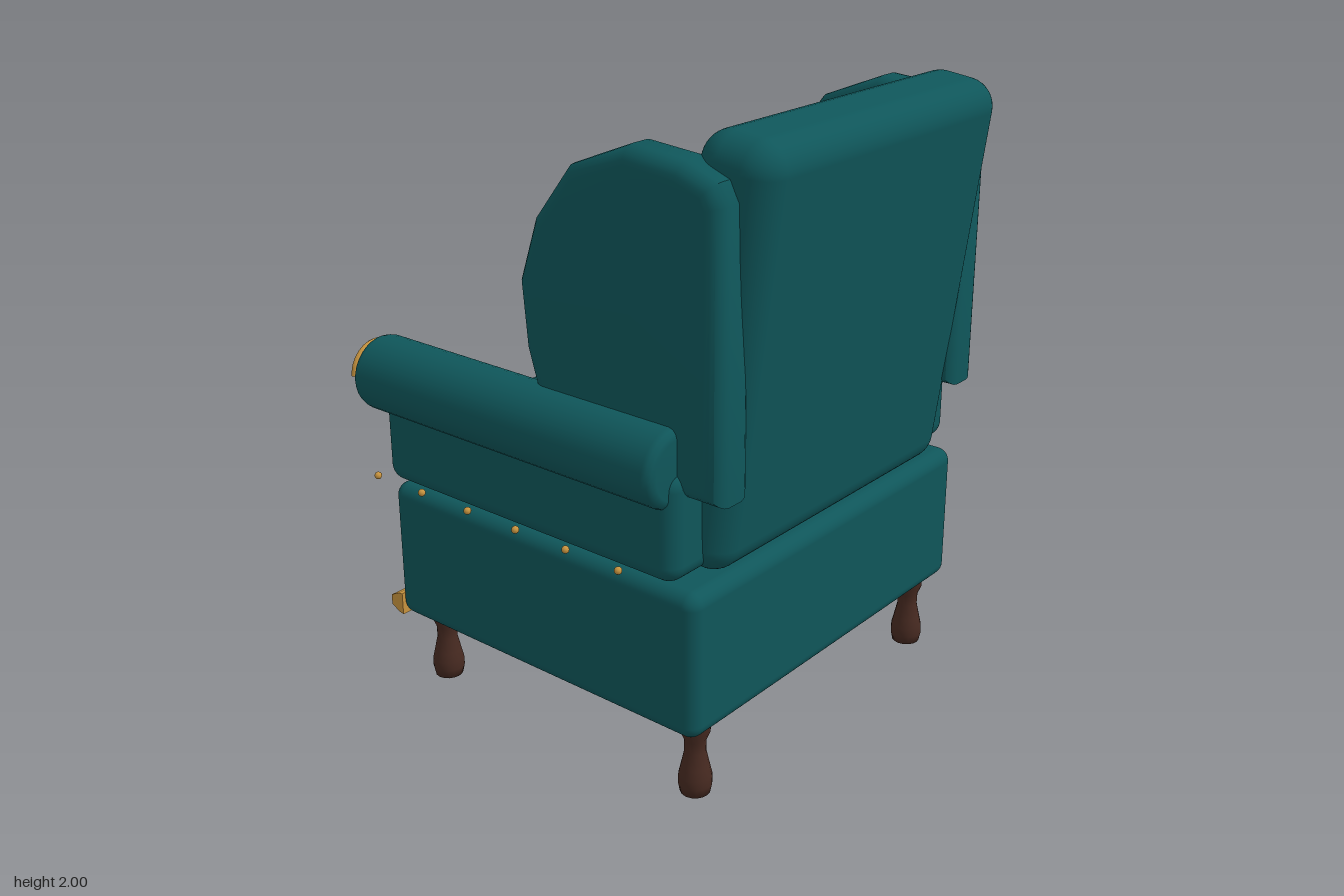
import * as THREE from 'three';
import { mergeVertices, toCreasedNormals } from 'three/addons/utils/BufferGeometryUtils.js';
import { RoundedBoxGeometry } from 'three/addons/geometries/RoundedBoxGeometry.js';

const material = (name, color) => {
  const m = new THREE.MeshStandardMaterial({ color });
  m.name = name;
  return m;
};
const v2 = ([x, y]) => new THREE.Vector2(x, y);

export function createModel() {
  const fabric = material('teal fabric', 0x0f565a);
  const brass = material('brass', 0xc8943f);
  const wood = material('dark wood', 0x472a21);
  const orange = material('pumpkin orange', 0xdd7420);

  const chair = new THREE.Group();
  chair.name = 'armchair';

  const add = (name, geo, mat, x = 0, y = 0, z = 0, parent = chair) => {
    const mesh = new THREE.Mesh(geo, mat);
    mesh.name = name;
    mesh.position.set(x, y, z);
    parent.add(mesh);
    return mesh;
  };
  const cushion = (w, h, d, r) => new RoundedBoxGeometry(w, h, d, 5, r);
  // Extrudes a (z, y) outline along x, centred on x = 0
  const sideExtrude = (points, depth, options) => {
    const geo = new THREE.ExtrudeGeometry(new THREE.Shape(points.map(v2)), { depth, ...options });
    return geo.translate(0, 0, -depth / 2).rotateY(-Math.PI / 2);
  };

  // Base and seat
  add('base', cushion(1.38, 0.47, 1.245, 0.045), fabric, 0, 0.475, -0.05);
  add('seatCushion', cushion(1.06, 0.2, 1.05, 0.075), fabric, 0, 0.79, -0.17);

  // Tilted backrest with its buttons
  const backrest = new THREE.Group();
  backrest.name = 'backrest';
  backrest.position.set(0, 1.36, 0.525);
  backrest.rotation.x = 0.13;
  chair.add(backrest);
  add('backCushion', cushion(1.18, 1.28, 0.26, 0.09), fabric, 0, 0, 0, backrest);
  const button = new THREE.SphereGeometry(0.02, 12, 8).scale(1, 1, 0.6);
  [[0.34, [-0.27, 0, 0.27]], [0.04, [-0.135, 0.135]], [-0.26, [-0.27, 0, 0.27]]].forEach(([y, xs]) =>
    xs.forEach((x) => add('backButton', button, brass, x, y, -0.135, backrest)));

  // Shapes shared by both sides
  const wing = toCreasedNormals(sideExtrude([
    [0.64, 0.99], [0.64, 1.83], [0.61, 1.89], [0.5, 1.93], [0.31, 1.945], [0.1, 1.86], [-0.03, 1.695],
    [-0.098, 1.5], [-0.08, 1.3], [-0.04, 1.17], [0.03, 1.05], [0.13, 0.99],
  ], 0.055, { bevelEnabled: true, bevelThickness: 0.05, bevelSize: 0.05, bevelOffset: -0.05, bevelSegments: 5 }), 0.7);

  const rollProfile = [[0, -0.605], [0.09, -0.605], [0.105, -0.6], [0.116, -0.59], [0.12, -0.575],
    [0.12, 0.575], [0.116, 0.59], [0.105, 0.6], [0.09, 0.605], [0, 0.605]];
  const roll = new THREE.LatheGeometry(rollProfile.map(v2), 32).rotateX(Math.PI / 2);

  const legProfile = [[0, 0], [0.046, 0], [0.052, 0.03], [0.051, 0.06], [0.044, 0.09],
    [0.033, 0.14], [0.034, 0.18], [0.046, 0.21], [0.048, 0.25]];
  const leg = new THREE.LatheGeometry(legProfile.map(v2), 16);

  const nail = new THREE.SphereGeometry(0.012, 10, 8);

  for (const s of [1, -1]) {
    add('wing', wing, fabric, s * 0.594, 0, 0);
    add('armPanel', cushion(0.22, 0.34, 1.18, 0.055), fabric, s * 0.61, 0.905, -0.07);
    add('armRoll', roll, fabric, s * 0.67, 1.08, -0.105);

    // Spiral scroll on the front of the arm
    const spiral = [];
    for (let i = 0; i <= 30; i++) {
      const t = i / 30, a = t * Math.PI * 3.2, r = 0.097 - 0.05 * t;
      spiral.push(new THREE.Vector3(s * Math.cos(a) * r, Math.sin(a) * r, 0));
    }
    add('armScroll', new THREE.TubeGeometry(new THREE.CatmullRomCurve3(spiral), 90, 0.011, 8), brass, s * 0.67, 1.085, -0.718);

    // Nail heads under the arm
    for (let i = 0; i < 6; i++) add('nailHead', nail, brass, s * 0.74, 0.75, 0.34 - i * 0.203);

    for (const z of [0.49, -0.575]) add('leg', leg, wood, s * 0.58, 0, z);
  }

  // Trim along the lower front edge
  add('frontTrim', sideExtrude([[-0.66, 0.235], [-0.66, 0.31], [-0.678, 0.308], [-0.713, 0.29], [-0.713, 0.255], [-0.678, 0.238]],
    1.38, { bevelEnabled: false }), brass);

  // Ribbed pumpkin lying against the backrest
  const pumpkin = new THREE.Group();
  pumpkin.name = 'pumpkin';
  pumpkin.position.set(0, 1.12, 0.113);
  pumpkin.rotation.x = -1.22;
  chair.add(pumpkin);
  let body = new THREE.SphereGeometry(1, 80, 32);
  body.deleteAttribute('uv');
  body.deleteAttribute('normal');
  body = mergeVertices(body, 1e-4);
  const p = body.attributes.position;
  for (let i = 0; i < p.count; i++) {
    const x = p.getX(i), y = p.getY(i), z = p.getZ(i);
    const ring = Math.hypot(x, z);
    const rib = 1 - 0.08 * (1 - Math.abs(Math.cos(5 * Math.atan2(z, x))));
    const dimple = 1 - 0.3 * Math.exp(-((ring / 0.25) ** 2));
    p.setXYZ(i, x * 0.302 * rib, y * 0.178 * dimple * (0.6 + 0.4 * rib), z * 0.302 * rib);
  }
  body.computeVertexNormals();
  add('pumpkinBody', body, orange, 0, 0, 0, pumpkin);

  // Short bent stem
  const stem = add('pumpkinStem', new THREE.CylinderGeometry(0.018, 0.026, 0.1, 7), fabric, 0.005, 0.16, 0, pumpkin);
  stem.rotation.z = -0.2;
  const tendril = add('pumpkinTendril', new THREE.ConeGeometry(0.01, 0.07, 6), fabric, 0.03, 0.145, 0, pumpkin);
  tendril.rotation.z = -0.9;

  return chair;
}
